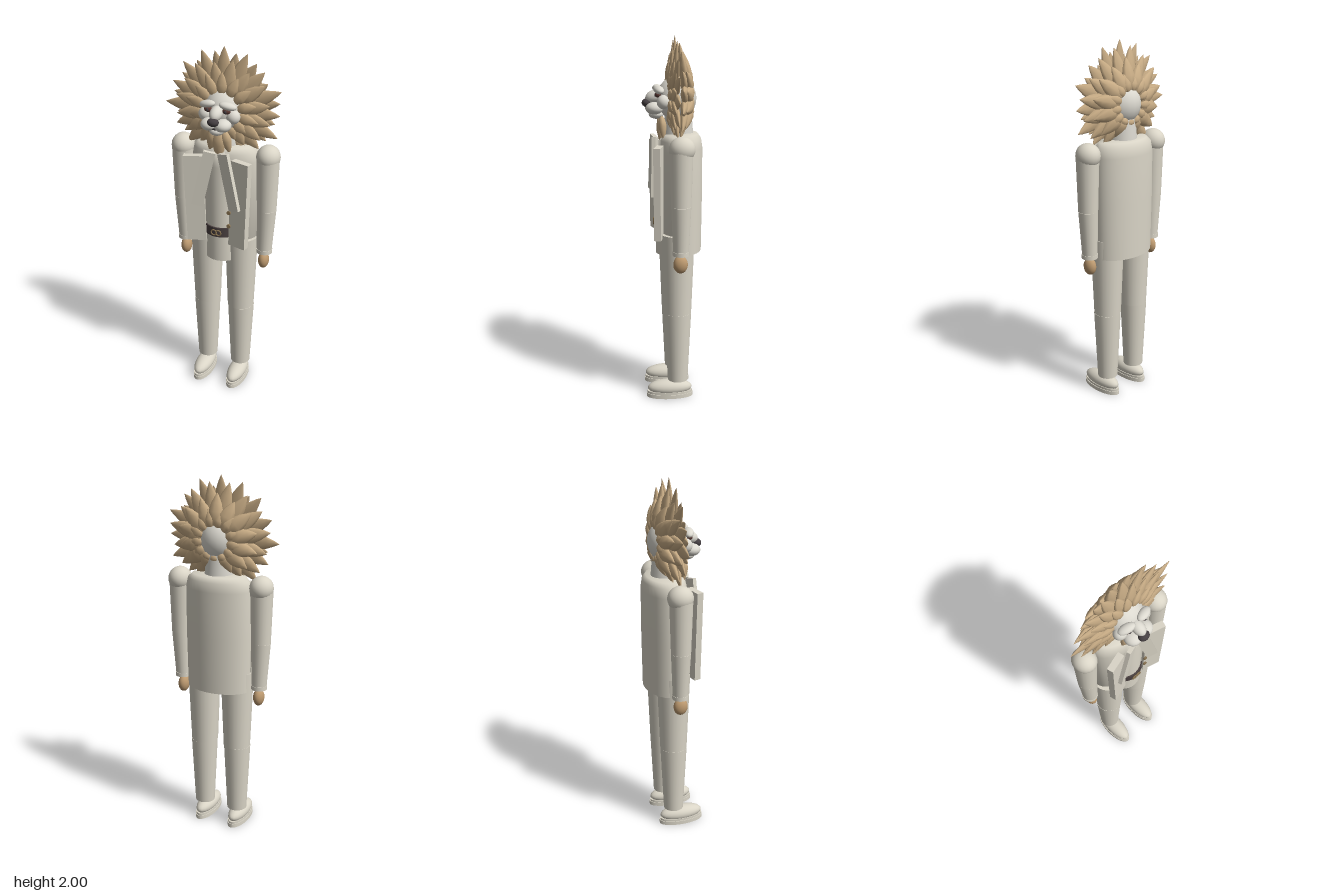
import * as THREE from 'three';

const paint = (name, color, extra = {}) => new THREE.MeshStandardMaterial({ name, color, ...extra });

export function createModel() {
  const cloth = paint('ivory cloth', 0xdad5c7, { side: THREE.DoubleSide });
  const fur = paint('pale fur', 0xdcd9d0);
  const tan = paint('mane tan', 0xc9ad86);
  const paw = paint('paw tan', 0xbd9a70);
  const dark = paint('nose charcoal', 0x453f42);
  const leather = paint('belt leather', 0x4a4040);
  const brass = paint('brass', 0x8c7654);
  const eyeBrown = paint('eye brown', 0x5c3a34);

  const model = new THREE.Group();
  const body = new THREE.Group();
  body.name = 'figure';
  body.position.x = -0.016;
  model.add(body);

  const add = (parent, name, geo, mat, pos = [0, 0, 0], rot = [0, 0, 0], scale = [1, 1, 1]) => {
    const m = new THREE.Mesh(geo, mat);
    m.name = name;
    m.position.set(...pos);
    m.rotation.set(...rot);
    m.scale.set(...scale);
    parent.add(m);
    return m;
  };
  const ball = new THREE.SphereGeometry(1, 20, 14);
  const blob = (parent, name, mat, pos, scale, rot) => add(parent, name, ball, mat, pos, rot, scale);
  const lathe = (pts, seg = 20, start = 0, len = Math.PI * 2) =>
    new THREE.LatheGeometry(pts.map(p => new THREE.Vector2(...p)), seg, start, len);

  // Torso with rounded shoulders, and the longer jacket back
  add(body, 'torso', lathe([[0, 0.93], [1, 0.93], [1, 1.4], [0.95, 1.45], [0.82, 1.48], [0.4, 1.49], [0, 1.49]], 32),
    cloth, [0, 0, -0.035], [0, 0, 0], [0.185, 1, 0.11]);
  add(body, 'jacketBack', lathe([[0.97, 0.845], [1, 1.15], [1, 1.41], [0.94, 1.46], [0.8, 1.485], [0.4, 1.49], [0, 1.49]], 20, Math.PI / 2, Math.PI),
    cloth, [0, 0, -0.035], [0, 0, 0], [0.19, 1, 0.125]);
  add(body, 'shirtFront', lathe([[1, 0.82], [1, 1.38], [0.8, 1.46], [0, 1.48]], 16, -Math.PI / 2, Math.PI),
    cloth, [0, 0, -0.015], [0, 0, 0], [0.102, 1, 0.108]);
  blob(body, 'hips', cloth, [0, 0.9, -0.025], [0.15, 0.07, 0.085]);
  add(body, 'neck', new THREE.CylinderGeometry(0.07, 0.085, 0.18, 20), fur, [0, 1.53, -0.03]);

  // Belt and ring buckle
  add(body, 'belt', new THREE.CylinderGeometry(1, 1, 0.055, 24, 1, false, -0.75, 1.5), leather,
    [0, 1.0, -0.015], [0, 0, 0], [0.108, 1, 0.116]);
  for (const s of [-1, 1])
    add(body, 'buckleRing', new THREE.TorusGeometry(0.015, 0.004, 6, 16), brass, [s * 0.013, 1.0, 0.104]);

  for (const s of [-1, 1]) {
    const side = s > 0 ? 'left' : 'right';
    // Jacket front panel and lapel
    add(body, side + 'JacketPanel', new THREE.BoxGeometry(0.105, 0.5, 0.037), cloth,
      [s * 0.128, 1.18, 0.084], [0, -s * 0.26, -s * 0.035]);
    add(body, side + 'Lapel', new THREE.BoxGeometry(0.064, 0.32, 0.022), cloth,
      [s * 0.073, 1.31, 0.102], [0.04, -s * 0.3, s * 0.23]);

    // Arm
    const ax = s * 0.243, az = -0.024;
    blob(body, side + 'Shoulder', cloth, [ax, 1.432, az - 0.004], [0.064, 0.066, 0.069]);
    add(body, side + 'UpperArm', new THREE.CylinderGeometry(0.062, 0.053, 0.3, 20), cloth, [ax, 1.282, az]);
    add(body, side + 'Forearm', new THREE.CylinderGeometry(0.053, 0.041, 0.26, 20), cloth, [s * 0.239, 1.002, az], [0, 0, -s * 0.03]);
    add(body, side + 'Cuff', new THREE.CylinderGeometry(0.044, 0.044, 0.022, 20), cloth, [s * 0.236, 0.877, az]);
    blob(body, side + 'Paw', paw, [s * 0.234, 0.815, -0.022], [0.03, 0.048, 0.039]);

    // Leg
    add(body, side + 'Thigh', new THREE.CylinderGeometry(0.092, 0.075, 0.45, 24), cloth, [s * 0.102, 0.725, -0.02]);
    add(body, side + 'Shin', new THREE.CylinderGeometry(0.075, 0.056, 0.4, 24), cloth, [s * 0.104, 0.3, -0.02]);

    // Shoe
    const shoe = new THREE.Group();
    shoe.name = side + 'Shoe';
    shoe.position.set(s * 0.105, 0, 0.025);
    body.add(shoe);
    const disc = new THREE.CylinderGeometry(1, 1, 1, 28);
    add(shoe, 'sole', disc, cloth, [0, 0.011, 0], [0, 0, 0], [0.054, 0.022, 0.13]);
    add(shoe, 'welt', disc, cloth, [0, 0.028, 0], [0, 0, 0], [0.05, 0.014, 0.126]);
    blob(shoe, 'upper', cloth, [0, 0.053, 0], [0.051, 0.045, 0.125]);
  }

  // Jacket buttons
  for (const y of [1.13, 1.05])
    add(body, 'button', new THREE.CylinderGeometry(0.011, 0.011, 0.009, 12), brass, [0.07, y, 0.096], [Math.PI / 2, 0, 0]);

  // Head and face
  const head = new THREE.Group();
  head.name = 'head';
  head.position.y = 1.67;
  body.add(head);
  blob(head, 'skull', fur, [0, 0, -0.02], [0.108, 0.115, 0.108]);
  blob(head, 'bridge', fur, [0, 0.012, 0.098], [0.033, 0.034, 0.05], [0.35, 0, 0]);
  blob(head, 'nose', dark, [0, -0.022, 0.14], [0.031, 0.022, 0.025]);
  blob(head, 'chin', fur, [0, -0.083, 0.088], [0.04, 0.025, 0.04]);
  blob(head, 'mouth', dark, [0, -0.062, 0.1], [0.03, 0.012, 0.03]);
  for (const s of [-1, 1]) {
    blob(head, 'muzzlePad', fur, [s * 0.037, -0.048, 0.1], [0.045, 0.033, 0.047]);
    blob(head, 'cheek', fur, [s * 0.076, -0.012, 0.055], [0.037, 0.037, 0.035]);
    blob(head, 'brow', fur, [s * 0.056, 0.05, 0.078], [0.047, 0.02, 0.026], [0, s * 0.25, -s * 0.2]);
    blob(head, 'eye', eyeBrown, [s * 0.05, 0.024, 0.082], [0.022, 0.015, 0.016]);
    blob(head, 'pupil', dark, [s * 0.049, 0.023, 0.093], [0.009, 0.01, 0.008]);
  }

  // Mane: rings of flattened leaf-shaped locks, shorter toward the chest
  const leaf = lathe([[0, 0], [0.6, 0.08], [0.92, 0.28], [1, 0.45], [0.7, 0.7], [0.33, 0.88], [0, 1]], 8);
  const mane = new THREE.Group();
  mane.name = 'mane';
  head.add(mane);
  const rings = [
    // count, phase, base radius, base z, tip radius, tip z, half width, thickness
    [16, 0, 0.09, -0.005, 0.33, -0.012, 0.043, 0.016],
    [16, 0.5, 0.09, 0.012, 0.275, 0.004, 0.038, 0.015],
    [14, 0, 0.085, 0.026, 0.205, 0.018, 0.03, 0.014],
    [16, 0.5, 0.08, -0.06, 0.3, -0.03, 0.045, 0.022],
    [14, 0, 0.07, -0.088, 0.245, -0.055, 0.043, 0.026],
    [13, 0.5, 0.07, -0.095, 0.17, -0.08, 0.028, 0.018],
  ];
  rings.forEach(([n, phase, r0, z0, r1, z1, w, t], k) => {
    for (let i = 0; i < n; i++) {
      const a = ((i + phase) / n) * Math.PI * 2;
      const low = Math.max(0, -Math.cos(a));
      const wave = i === 0 ? 1 : 0.97 + 0.045 * Math.sin(i * 2.7 + k * 1.9);
      const tip = r1 * wave * (1 - 0.24 * low * low);
      const spoke = new THREE.Group();
      spoke.name = 'maneSpoke';
      spoke.rotation.z = -a;
      mane.add(spoke);
      const len = Math.hypot(tip - r0, z1 - z0);
      add(spoke, 'maneLock', leaf, tan, [0, r0, z0], [Math.atan2(z1 - z0, tip - r0), 0, 0], [w, len, t]);
    }
  });

  // Beard locks hanging below the chin
  for (const [x, len, w, tilt] of [[0, 0.18, 0.037, 0], [-0.028, 0.13, 0.03, -0.22], [0.028, 0.13, 0.03, 0.22]])
    add(head, 'beardLock', leaf, tan, [x, -0.09, 0.07 - Math.abs(x) * 0.3], [0.08, 0, Math.PI + tilt], [w, len, 0.022]);

  return model;
}
